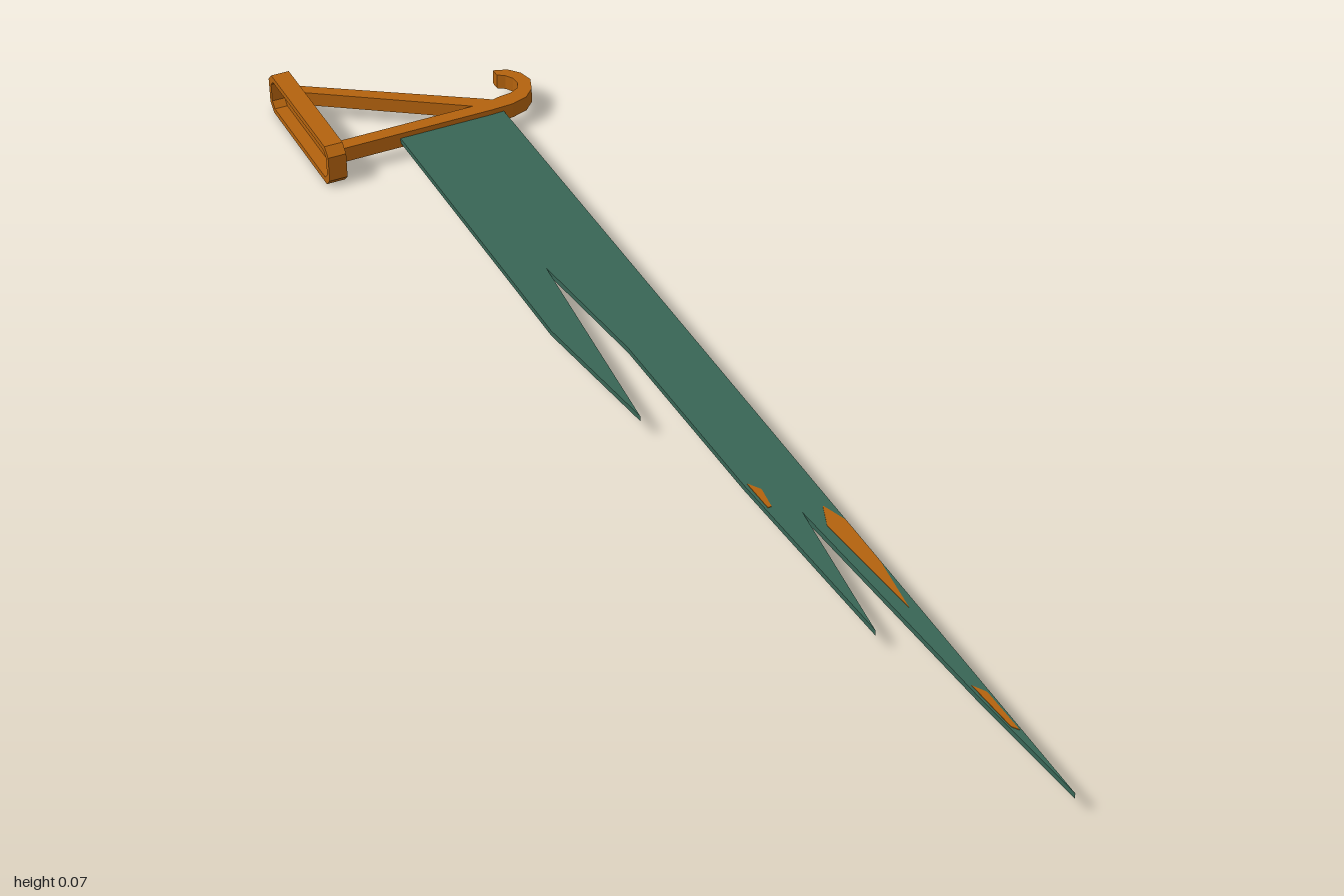
import * as THREE from 'three';

// Extrudes an outline given as [x, z] pairs upward from y0 to y1
function slab(points, y0, y1) {
  const shape = new THREE.Shape(points.map(([x, z]) => new THREE.Vector2(x, -z)));
  const geo = new THREE.ExtrudeGeometry(shape, { depth: y1 - y0, bevelEnabled: false });
  return geo.rotateX(-Math.PI / 2).translate(0, y0, 0);
}

// Rectangle with cut corners, in (z, y)
function cutRect(z0, z1, y0, y1, c) {
  return [[z0 + c, y0], [z1 - c, y0], [z1, y0 + c], [z1, y1 - c],
    [z1 - c, y1], [z0 + c, y1], [z0, y1 - c], [z0, y0 + c]]
    .map(([z, y]) => new THREE.Vector2(-z, y));
}

export function createModel() {
  const bronze = new THREE.MeshStandardMaterial({ name: 'bronze', color: 0xb3620e });
  const cloth = new THREE.MeshStandardMaterial({ name: 'greenCloth', color: 0x386555 });
  const model = new THREE.Group();
  model.name = 'wallBanner';

  function add(name, geo, mat) {
    const mesh = new THREE.Mesh(geo, mat);
    mesh.name = name;
    model.add(mesh);
    return mesh;
  }

  // Wall mount: solid face toward +x, shallow hollow behind it
  const outer = () => new THREE.Shape(cutRect(-1, -0.735, 0, 0.072, 0.014));
  const rim = outer();
  rim.holes.push(new THREE.Path(cutRect(-0.99, -0.745, 0.01, 0.062, 0.01).reverse()));
  const plate = (shape, x0, x1) =>
    new THREE.ExtrudeGeometry(shape, { depth: x1 - x0, bevelEnabled: false })
      .rotateY(Math.PI / 2).translate(x0, 0, 0);
  add('mountRim', plate(rim, -0.197, -0.175), bronze);
  add('mountFace', plate(outer(), -0.175, -0.166), bronze);

  // Arm ending in a curled hook
  add('armWithHook', slab([
    [-0.168, -0.762], [0.1, -0.762], [0.14, -0.764], [0.168, -0.773], [0.187, -0.793],
    [0.197, -0.82], [0.191, -0.845], [0.175, -0.864], [0.152, -0.872],
    [0.152, -0.856], [0.164, -0.848], [0.172, -0.835], [0.173, -0.818],
    [0.165, -0.804], [0.15, -0.796], [0.13, -0.794], [0.1, -0.786], [-0.168, -0.786],
  ], 0.024, 0.05), bronze);

  // Diagonal brace
  add('brace', slab([
    [-0.168, -0.956], [0.095, -0.776], [0.125, -0.782], [0.11, -0.796], [-0.168, -0.979],
  ], 0.025, 0.049), bronze);

  // Torn cloth
  const y0 = 0.032, y1 = 0.041;
  add('cloth', slab([
    [-0.061, -0.77], [-0.061, -0.18], [-0.032, 0.065], [0, -0.33], [0.024, -0.09],
    [0.03, 0.27], [0.047, 0.62], [0.076, 0.36], [0.105, 0.8], [0.123, 1], [0.123, -0.77],
  ], y0, y1), cloth);

  // Worn trim patches, showing on both faces
  const patches = [
    [[0.093, 0.4], [0.108, 0.36], [0.122, 0.4], [0.122, 0.5], [0.11, 0.6], [0.103, 0.52]],
    [[0.107, 0.77], [0.119, 0.79], [0.12, 0.87], [0.113, 0.86]],
    [[0.035, 0.27], [0.048, 0.29], [0.043, 0.33], [0.037, 0.33]],
  ];
  for (const p of patches) {
    add('trimPatchTop', slab(p, y1 - 0.001, y1 + 0.001), bronze);
    add('trimPatchBottom', slab(p, y0 - 0.001, y0 + 0.001), bronze);
  }
  return model;
}
